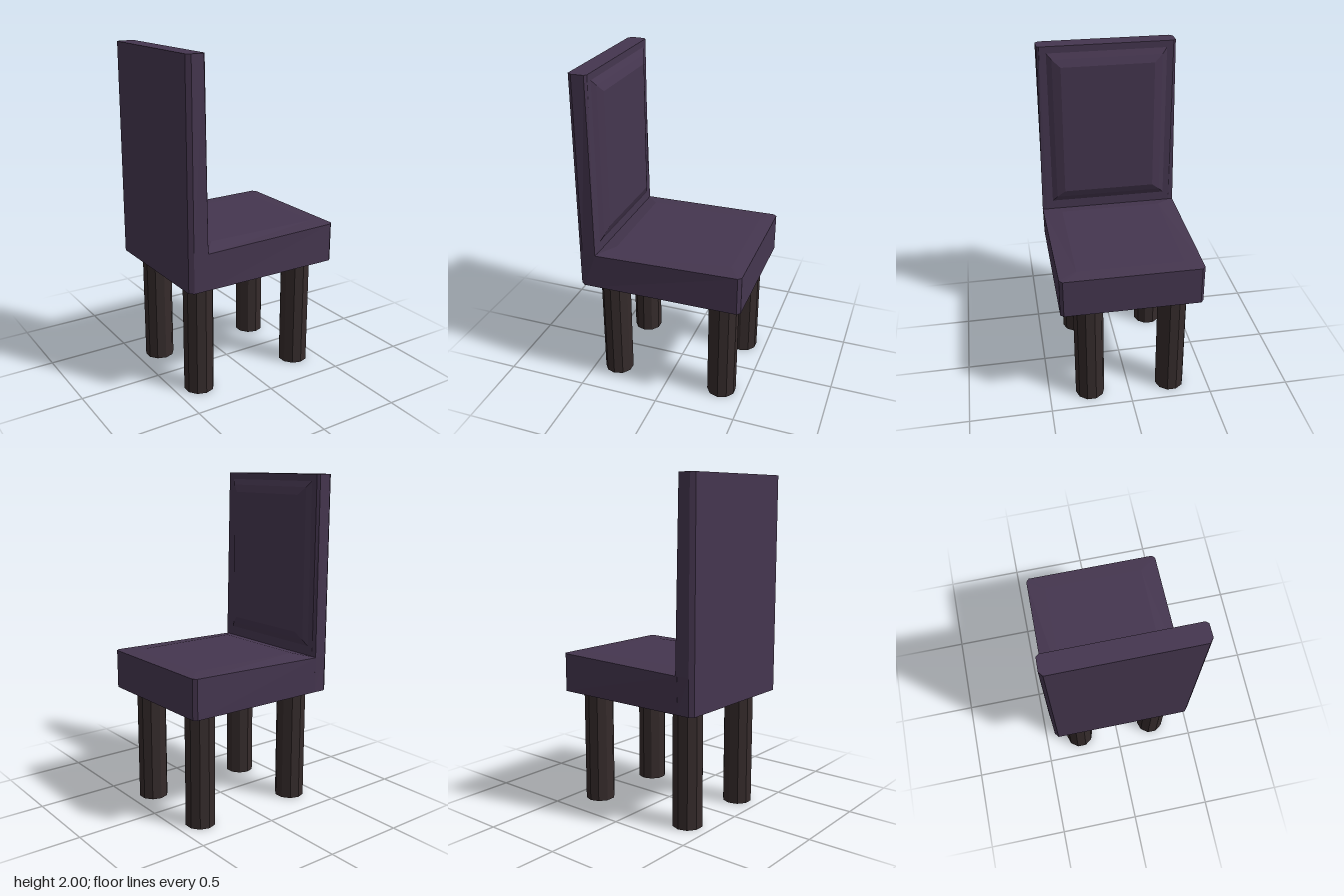
import * as THREE from 'three';

// Closed flat-shaded solid through rings of equal length (counter-clockwise seen from the last ring)
function loft(rings) {
  const pos = [];
  const tri = (a, b, c) => pos.push(...a, ...b, ...c);
  const n = rings[0].length;
  for (let r = 0; r < rings.length - 1; r++) {
    for (let i = 0; i < n; i++) {
      const j = (i + 1) % n, lo = rings[r], hi = rings[r + 1];
      tri(lo[i], lo[j], hi[j]);
      tri(lo[i], hi[j], hi[i]);
    }
  }
  const first = rings[0], last = rings[rings.length - 1];
  for (let i = 1; i < n - 1; i++) {
    tri(first[0], first[i + 1], first[i]);
    tri(last[0], last[i], last[i + 1]);
  }
  const g = new THREE.BufferGeometry();
  g.setAttribute('position', new THREE.Float32BufferAttribute(pos, 3));
  g.computeVertexNormals();
  return g;
}

// Mirrors a half outline (on the +z side, running towards +x) across z = 0
function mirrored(half) {
  return [...half, ...half.slice().reverse().map(([x, y, z]) => [x, y, -z])];
}

export function createModel() {
  const model = new THREE.Group();
  model.name = 'chair';
  const upholstery = new THREE.MeshStandardMaterial({ color: 0x45364f });
  upholstery.name = 'plum upholstery';
  const wood = new THREE.MeshStandardMaterial({ color: 0x352b2b });
  wood.name = 'dark wood';
  wood.flatShading = true;

  const add = (name, geometry, material) => {
    const mesh = new THREE.Mesh(geometry, material);
    mesh.name = name;
    model.add(mesh);
    return mesh;
  };

  // Seat with clipped front corners and a shallow padded top
  add('seat', loft([
    mirrored([[-0.4, 0.7, 0.424], [0.475, 0.7, 0.422], [0.495, 0.7, 0.403]]),
    mirrored([[-0.4, 0.92, 0.433], [0.475, 0.935, 0.422], [0.495, 0.935, 0.403]]),
    mirrored([[-0.3, 0.941, 0.315], [0.405, 0.941, 0.315], [0.41, 0.941, 0.31]]),
  ]), upholstery);

  // Backrest slab, widest where it meets the seat
  const backRing = (y, frontX, frontZ, sideZ) => mirrored([
    [-0.5, y, sideZ - 0.02], [-0.475, y, sideZ], [frontX, y, frontZ], [-0.387, y, 0.405],
  ]);
  add('backrest', loft([
    backRing(0.7, -0.39, 0.424, 0.424),
    backRing(0.92, -0.39, 0.433, 0.424),
    backRing(2, -0.4, 0.42, 0.422),
  ]), upholstery);

  // Raised pad on the backrest
  const padRing = (x, low, high, z) => [[x, low, z], [x, low, -z], [x, high, -z], [x, high, z]];
  add('backPad', loft([
    padRing(-0.39, 0.975, 1.965, 0.37),
    padRing(-0.369, 1.015, 1.925, 0.335),
    padRing(-0.35, 1.06, 1.88, 0.285),
  ]), upholstery);

  // Four ten-sided legs
  const legGeometry = new THREE.CylinderGeometry(0.09, 0.09, 0.705, 10);
  for (const [end, x] of [['front', 0.35], ['rear', -0.35]]) {
    for (const [side, z] of [['Near', 0.245], ['Far', -0.265]]) {
      add(`${end}${side}Leg`, legGeometry, wood).position.set(x, 0.3525, z);
    }
  }
  return model;
}
